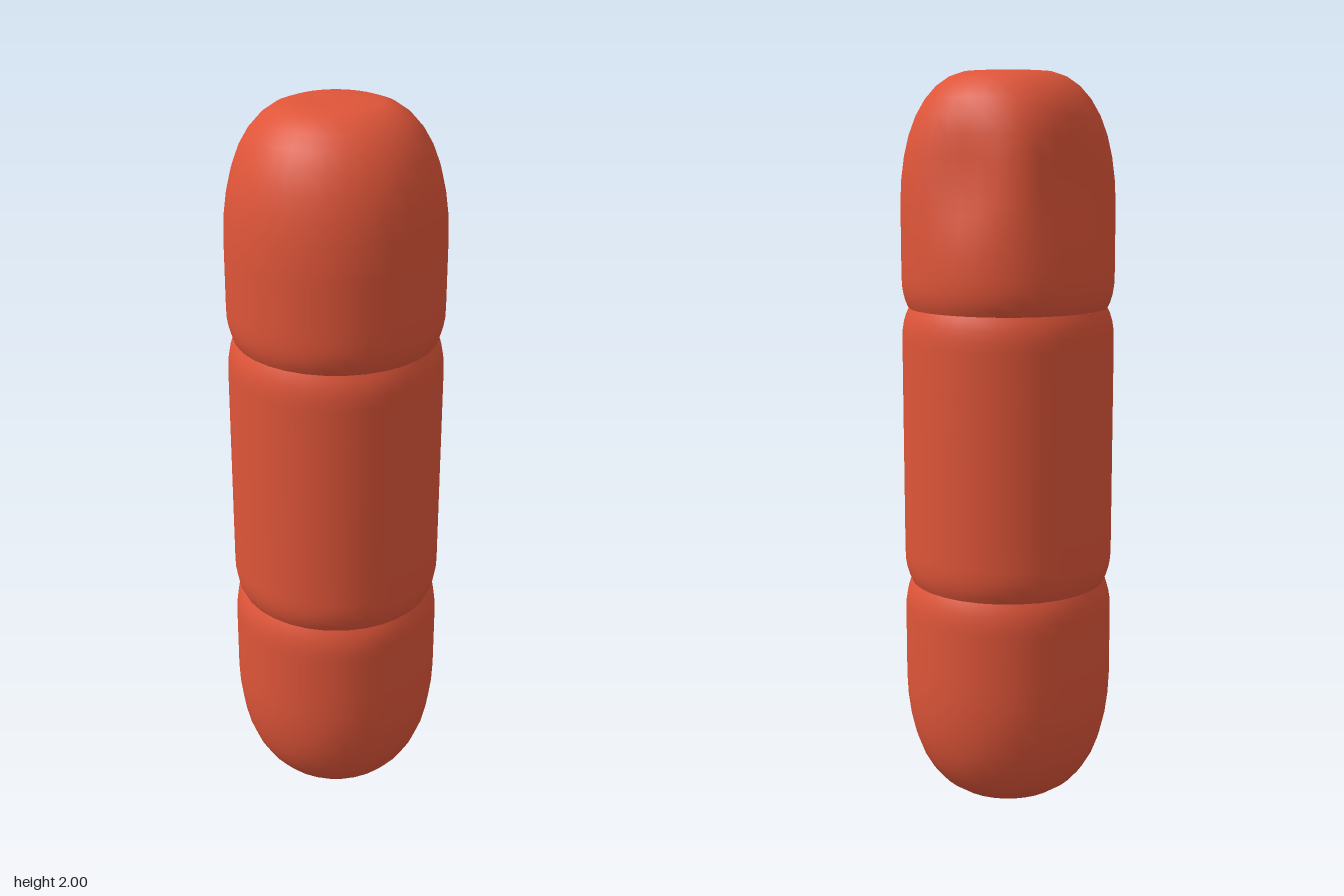
import * as THREE from 'three';
import { mergeVertices } from 'three/addons/utils/BufferGeometryUtils.js';

const SIDES = 32;
const R = 0.288;     // body radius
const SEAM = 0.27;   // radius at the grooves between sections

// Rounded end: [radius, distance from the tip]
const TIP = [[0, 0], [0.06, 0], [0.12, 0.002], [0.155, 0.014], [0.19, 0.038], [0.22, 0.072],
  [0.245, 0.115], [0.264, 0.165], [0.277, 0.22], [0.285, 0.28], [R, 0.34]];
// Soft lip beside a groove: [radius, distance from the groove]
const LIP = [[SEAM, 0], [0.277, 0.015], [0.283, 0.035], [0.287, 0.06], [R, 0.09]];

// Straight wall between two heights, with rows close enough to bend
function wall(y0, y1, rows) {
  const pts = [];
  for (let i = 1; i < rows; i++) pts.push([R, y0 + (y1 - y0) * i / rows]);
  return pts;
}

const up = (pts, y) => pts.map(([r, d]) => [r, y + d]);
const down = (pts, y) => pts.map(([r, d]) => [r, y - d]).reverse();

function section(name, profile, material, deform) {
  let geo = new THREE.LatheGeometry(profile.map(([r, y]) => new THREE.Vector2(r, y)), SIDES);
  geo.deleteAttribute('uv');
  geo.deleteAttribute('normal');
  geo = mergeVertices(geo, 1e-4);
  if (deform) deform(geo.attributes.position);
  geo.computeVertexNormals();
  const mesh = new THREE.Mesh(geo, material);
  mesh.name = name;
  return mesh;
}

// Two shallow mirrored hollows on the back of the top section
function pressHollows(pos) {
  for (let i = 0; i < pos.count; i++) {
    const x = pos.getX(i), y = pos.getY(i), z = pos.getZ(i);
    const r = Math.hypot(x, z);
    if (r < 0.1) continue;
    const angle = Math.atan2(x, -z);
    let depth = 0;
    for (const side of [-1, 1]) {
      const a = (angle - side * 0.58) / 0.28;
      const h = (y - 1.73) / 0.1;
      depth += 0.038 * Math.exp(-0.5 * (a * a + h * h));
    }
    const k = (r - depth) / r;
    pos.setXYZ(i, x * k, y, z * k);
  }
}

export function createModel() {
  const group = new THREE.Group();
  group.name = 'segmentedCapsule';
  const red = new THREE.MeshStandardMaterial({ color: 0xdf5539 });
  red.name = 'warm red';

  group.add(section('bottomSection',
    [...up(TIP, 0), ...wall(0.34, 0.53, 3), ...down(LIP, 0.62)], red));
  group.add(section('middleSection',
    [...up(LIP, 0.62), ...wall(0.71, 1.29, 6), ...down(LIP, 1.38)], red));
  group.add(section('topSection',
    [...up(LIP, 1.38), ...wall(1.47, 1.66, 6), ...down(TIP, 2)], red, pressHollows));
  return group;
}
